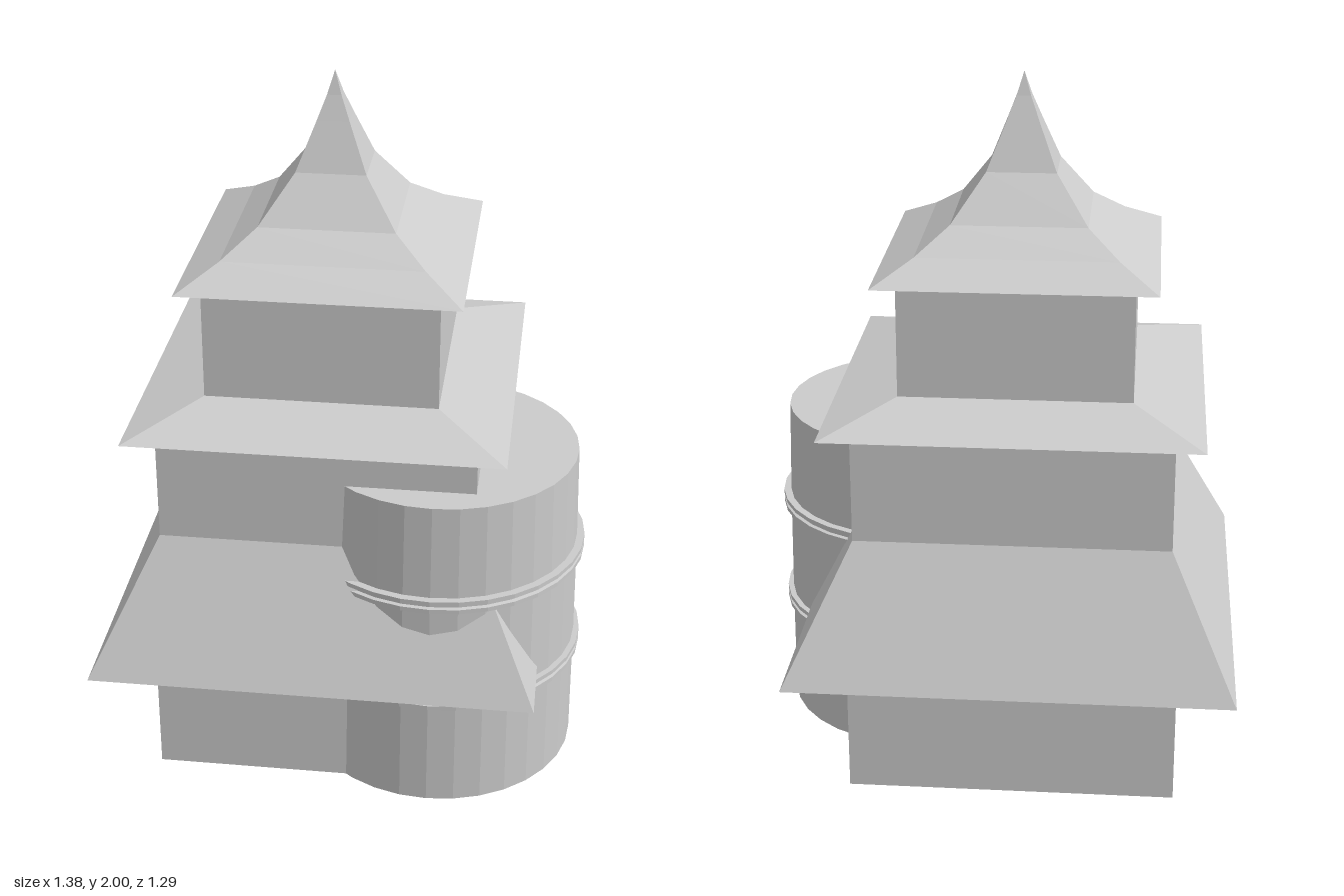
import * as THREE from 'three';

const material = new THREE.MeshStandardMaterial({ color: 0xcccccc, flatShading: true });

// Closed faceted solid: [radius, height] profile from bottom to top, spun in n sides
function spun(name, profile, n, phi = 0) {
  const points = profile.map(([r, y]) => new THREE.Vector2(r, y));
  const geometry = new THREE.LatheGeometry(points, n, phi).toNonIndexed();
  geometry.computeVertexNormals();
  const mesh = new THREE.Mesh(geometry, material);
  mesh.name = name;
  return mesh;
}

// Square solid: the profile gives half widths; slightly deeper than wide
function square(name, profile) {
  const mesh = spun(name, profile.map(([w, y]) => [w * Math.SQRT2, y]), 4, Math.PI / 4);
  mesh.geometry.scale(1, 1, 1.02);
  return mesh;
}

export function createModel() {
  const model = new THREE.Group();
  model.name = 'pagodaTower';

  // Square tower, storey by storey
  const tower = new THREE.Group();
  tower.name = 'squareTower';
  tower.position.x = -0.06;
  tower.add(
    square('groundStorey', [[0, 0], [0.468, 0], [0.468, 0.4], [0, 0.4]]),
    square('skirtRoof', [[0, 0.39], [0.63, 0.39], [0.444, 0.77], [0, 0.77]]),
    square('middleStorey', [[0, 0.77], [0.444, 0.77], [0.444, 1.1], [0, 1.1]]),
    square('middleEave', [[0, 1.095], [0.526, 1.095], [0.326, 1.157], [0, 1.157]]),
    square('upperStorey', [[0, 1.157], [0.326, 1.157], [0.326, 1.49], [0, 1.49]]),
    square('curvedSpireRoof', [[0, 1.483], [0.39, 1.483], [0.28, 1.543], [0.19, 1.61],
      [0.098, 1.737], [0.045, 1.87], [0.02, 1.935], [0, 2]]),
  );

  // Round corner turret with paired string-course rings
  const turret = new THREE.Group();
  turret.name = 'cornerTurret';
  turret.position.set(0.27, 0, 0.16);
  turret.add(spun('turretWall', [[0, 0], [0.402, 0], [0.399, 0.34], [0.394, 0.66], [0.386, 0.965], [0, 0.965]], 32));
  for (const y of [0.343, 0.667]) {
    const ring = [[0.37, -0.019], [0.415, -0.019], [0.415, -0.006], [0.404, -0.004],
      [0.404, 0.004], [0.415, 0.006], [0.415, 0.019], [0.37, 0.019]];
    turret.add(spun('turretRing', ring.map(([r, h]) => [r, y + h]), 32));
  }

  model.add(tower, turret);
  return model;
}
